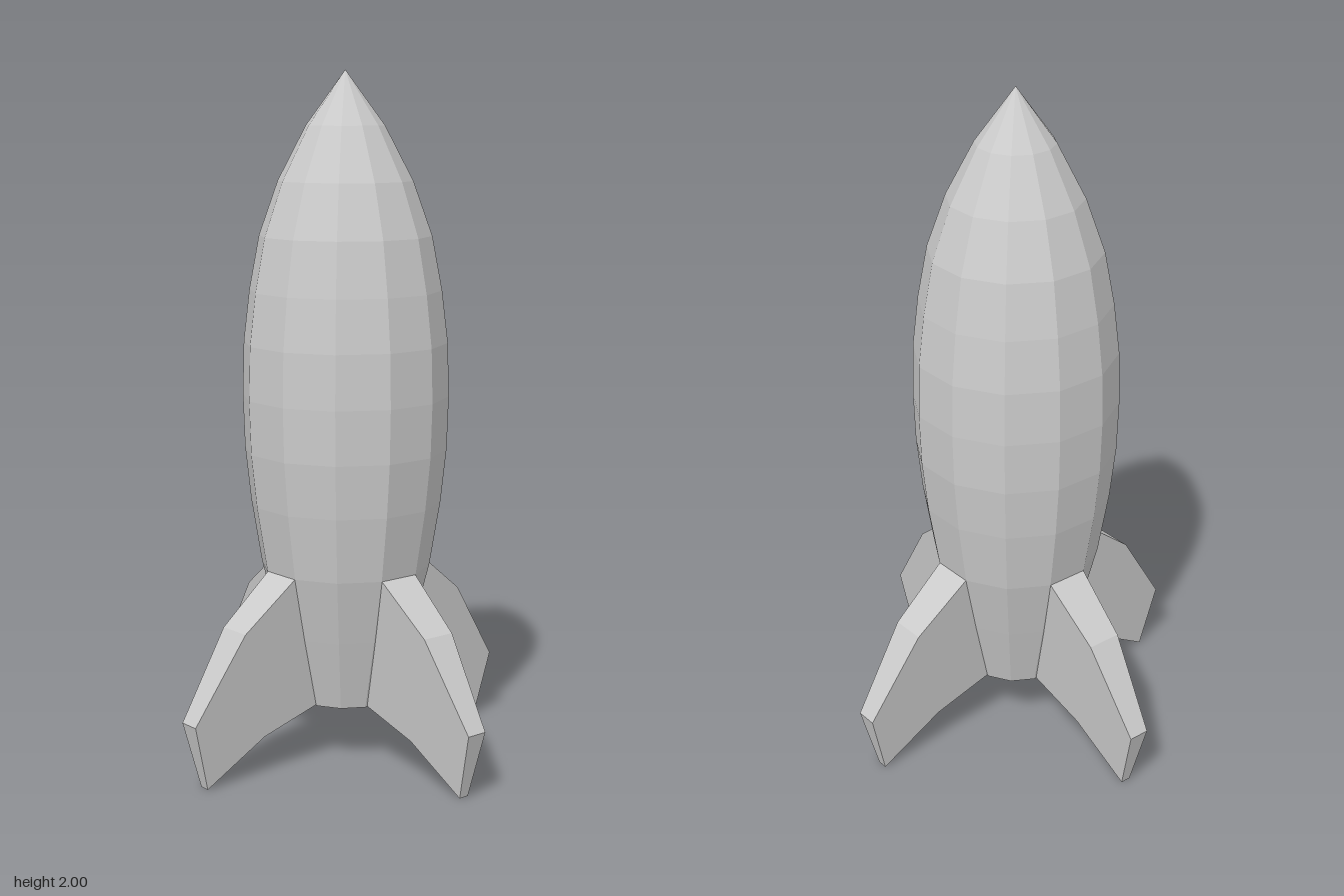
import * as THREE from 'three';

const SIDES = 12;

export function createModel() {
  const rocket = new THREE.Group();
  rocket.name = 'rocket';
  const material = new THREE.MeshStandardMaterial({ color: 0xcccccc, flatShading: true });

  // Twelve-sided hull: [distance to the middle of a side, height]
  const profile = [
    [0, 0.175], [0.135, 0.175], [0.191, 0.385], [0.238, 0.576], [0.268, 0.765],
    [0.284, 0.92], [0.289, 1.075], [0.285, 1.23], [0.268, 1.38], [0.24, 1.535],
    [0.187, 1.69], [0.109, 1.845], [0, 2],
  ];
  const toCorner = 1 / Math.cos(Math.PI / SIDES);
  const points = profile.map(([r, y]) => new THREE.Vector2(r * toCorner, y));
  const hull = new THREE.Mesh(new THREE.LatheGeometry(points, SIDES, Math.PI / SIDES), material);
  hull.name = 'hull';
  rocket.add(hull);

  // Swept fin outline, with its root buried in the hull
  const outline = [
    [0.12, 0.19], [0.135, 0.177], [0.32, 0.12], [0.515, 0.005], [0.565, 0.2],
    [0.405, 0.443], [0.238, 0.576], [0.18, 0.576],
  ].map(([x, y]) => new THREE.Vector2(x, y));
  const finGeometry = new THREE.ExtrudeGeometry(new THREE.Shape(outline), {
    depth: 2, bevelEnabled: false,
  });
  finGeometry.translate(0, 0, -1);

  // Thin the fin towards the ground
  const position = finGeometry.attributes.position;
  for (let i = 0; i < position.count; i++) {
    const halfThickness = 0.015 + 0.083 * position.getY(i);
    position.setZ(i, position.getZ(i) * halfThickness);
  }
  finGeometry.computeVertexNormals();

  // Four fins around the hull
  ['leftFin', 'backFin', 'rightFin', 'frontFin'].forEach((name, i) => {
    const fin = new THREE.Mesh(finGeometry, material);
    fin.name = name;
    fin.rotation.y = (i * Math.PI) / 2;
    rocket.add(fin);
  });

  return rocket;
}
